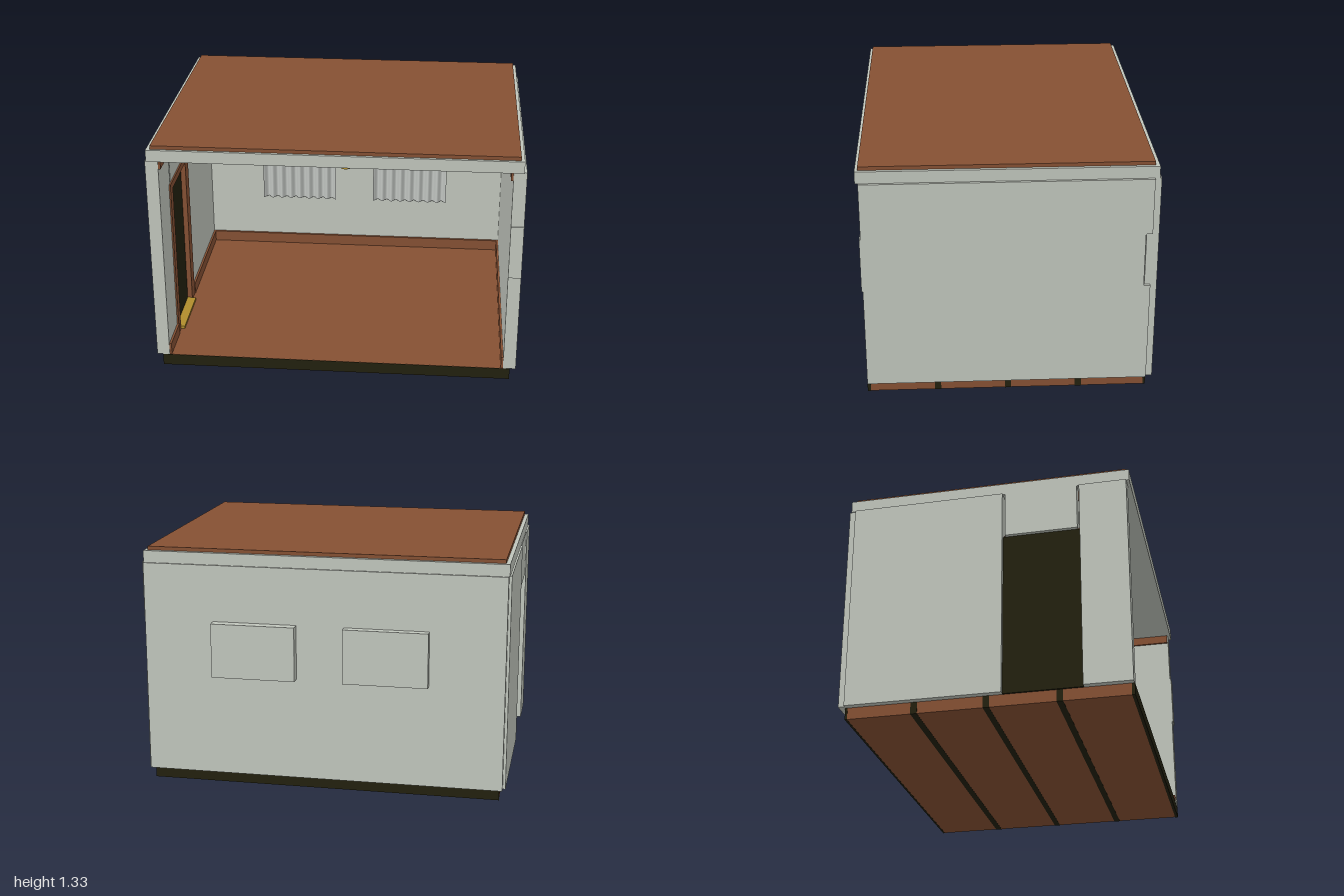
import * as THREE from 'three';

const mat = (name, color, side = THREE.FrontSide) => {
  const m = new THREE.MeshStandardMaterial({ color, side });
  m.name = name;
  return m;
};

export function createModel() {
  const room = new THREE.Group();
  room.name = 'room';
  const wall = mat('pale grey plaster', 0xc0c5bc);
  const cloth = mat('curtain cloth', 0xc3c7c3, THREE.DoubleSide);
  const wood = mat('brown wood', 0x855033);
  const dark = mat('dark wood', 0x22200e);
  const gold = mat('brass', 0xb08d2c);

  const add = (name, geo, material, x = 0, y = 0, z = 0) => {
    const m = new THREE.Mesh(geo, material);
    m.name = name;
    m.position.set(x, y, z);
    room.add(m);
    return m;
  };
  // Box given by its lower and upper limits on each axis
  const box = (name, material, [x0, x1], [y0, y1], [z0, z1]) =>
    add(name, new THREE.BoxGeometry(x1 - x0, y1 - y0, z1 - z0), material,
      (x0 + x1) / 2, (y0 + y1) / 2, (z0 + z1) / 2);

  // Floor with dark joists
  box('floor', wood, [-0.965, 0.965], [0.001, 0.065], [-0.72, 0.79]);
  for (const [z0, z1] of [[-0.722, -0.71], [-0.37, -0.335], [0.012, 0.045], [0.393, 0.427], [0.775, 0.792]])
    box('floorJoist', dark, [-0.967, 0.967], [0, 0.0645], [z0, z1]);

  // Back wall and left wall, the latter with a shifted middle course
  box('backWall', wall, [-0.985, 0.985], [0.065, 1.24], [-0.755, -0.69]);
  box('leftWallLower', wall, [0.93, 1], [0.065, 0.63], [-0.72, 0.79]);
  box('leftWallMiddle', wall, [0.93, 1], [0.63, 0.93], [-0.685, 0.797]);
  box('leftWallUpper', wall, [0.93, 1], [0.93, 1.24], [-0.72, 0.79]);

  // Right wall, split around the doorway
  box('rightWallRear', wall, [-1, -0.93], [0.065, 1.24], [-0.72, 0.115]);
  box('rightWallFront', wall, [-1, -0.93], [0.065, 1.24], [0.535, 0.79]);
  box('doorLintel', wall, [-0.995, -0.93], [0.98, 1.24], [0.13, 0.522]);

  // Door, frame and threshold
  box('door', dark, [-0.975, -0.95], [0.065, 0.98], [0.115, 0.535]);
  box('doorFrameRear', wood, [-0.95, -0.922], [0.065, 1.0], [0.07, 0.15]);
  box('doorFrameFront', wood, [-0.95, -0.922], [0.065, 1.0], [0.5, 0.56]);
  box('doorFrameTop', wood, [-0.95, -0.922], [0.96, 1.0], [0.15, 0.5]);
  box('threshold', gold, [-0.95, -0.9], [0.065, 0.08], [0.15, 0.5]);

  // Skirting and cornice
  for (const [name, y0, y1] of [['skirting', 0.065, 0.13], ['cornice', 1.19, 1.24]]) {
    box(name + 'Back', wood, [-0.93, 0.93], [y0, y1], [-0.69, -0.675]);
    box(name + 'Left', wood, [0.918, 0.93], [y0, y1], [-0.675, 0.785]);
    if (name === 'cornice') box(name + 'Right', wood, [-0.93, -0.918], [y0, y1], [-0.675, 0.785]);
    else {
      box(name + 'RightRear', wood, [-0.93, -0.918], [y0, y1], [-0.675, 0.07]);
      box(name + 'RightFront', wood, [-0.93, -0.918], [y0, y1], [0.56, 0.785]);
    }
  }

  // Ceiling slab and roof board
  box('ceilingSlab', wall, [-0.99, 0.985], [1.24, 1.305], [-0.745, 0.806]);
  box('roofBoard', wood, [-0.968, 0.966], [1.305, 1.325], [-0.722, 0.79]);

  // Window boxes with brass frames inside
  for (const [x0, x1, zBack] of [[-0.58, -0.12, -0.8], [0.14, 0.6, -0.81]]) {
    box('windowBox', wall, [x0, x1], [0.63, 0.93], [zBack, -0.687]);
    const c = (x0 + x1) / 2;
    for (const x of [x0, c - 0.01, x1 - 0.02])
      box('windowUpright', gold, [x, x + 0.02], [0.63, 0.93], [-0.69, -0.681]);
    for (const y of [0.63, 0.91])
      box('windowRail', gold, [x0, x1], [y, y + 0.02], [-0.69, -0.682]);
  }

  // Pleated curtains
  for (const s of [-1, 1]) {
    const geo = new THREE.PlaneGeometry(0.465, 0.6, 96, 1);
    const p = geo.attributes.position;
    for (let i = 0; i < p.count; i++)
      p.setZ(i, 0.016 * Math.cos((p.getX(i) / 0.465 + 0.5) * Math.PI * 16));
    geo.computeVertexNormals();
    add('curtain', geo, cloth, s * 0.352, 0.705, -0.65);
    for (let i = 0; i <= 8; i++)
      add('curtainRing', new THREE.TorusGeometry(0.012, 0.003, 6, 16), gold,
        s * (0.12 + i * 0.058), 1.008, -0.65).rotation.y = Math.PI / 2;
    add('rodFinial', new THREE.SphereGeometry(0.016, 16, 12), gold, s * 0.648, 1.01, -0.65);
    add('rodStop', new THREE.SphereGeometry(0.016, 16, 12), gold, s * 0.582, 1.01, -0.65);
    box('rodBracket', gold, [s * 0.582 - 0.006, s * 0.582 + 0.006], [1.004, 1.016], [-0.69, -0.65]);
  }
  add('curtainRod', new THREE.CylinderGeometry(0.008, 0.008, 1.3, 16), gold, 0, 1.01, -0.65).rotation.z = Math.PI / 2;

  // Wall plates with raised rims
  for (const x of [-0.084, 0.084])
    for (const y of [0.885, 1.052]) {
      add('wallPlate', new THREE.CylinderGeometry(0.028, 0.028, 0.008, 24), wall, x, y, -0.686).rotation.x = Math.PI / 2;
      add('wallPlateRim', new THREE.TorusGeometry(0.027, 0.006, 8, 28), wall, x, y, -0.683);
    }

  // Hanging lamp
  add('lampCord', new THREE.CylinderGeometry(0.004, 0.004, 0.23, 8), wood, 0, 1.125, 0.03);
  add('lampCap', new THREE.CylinderGeometry(0.014, 0.034, 0.024, 24), gold, 0, 1.0, 0.03);
  add('lampShade', new THREE.CylinderGeometry(0.027, 0.027, 0.062, 24), wall, 0, 0.958, 0.03);
  add('lampBase', new THREE.CylinderGeometry(0.036, 0.036, 0.012, 24), gold, 0, 0.923, 0.03);

  return room;
}
